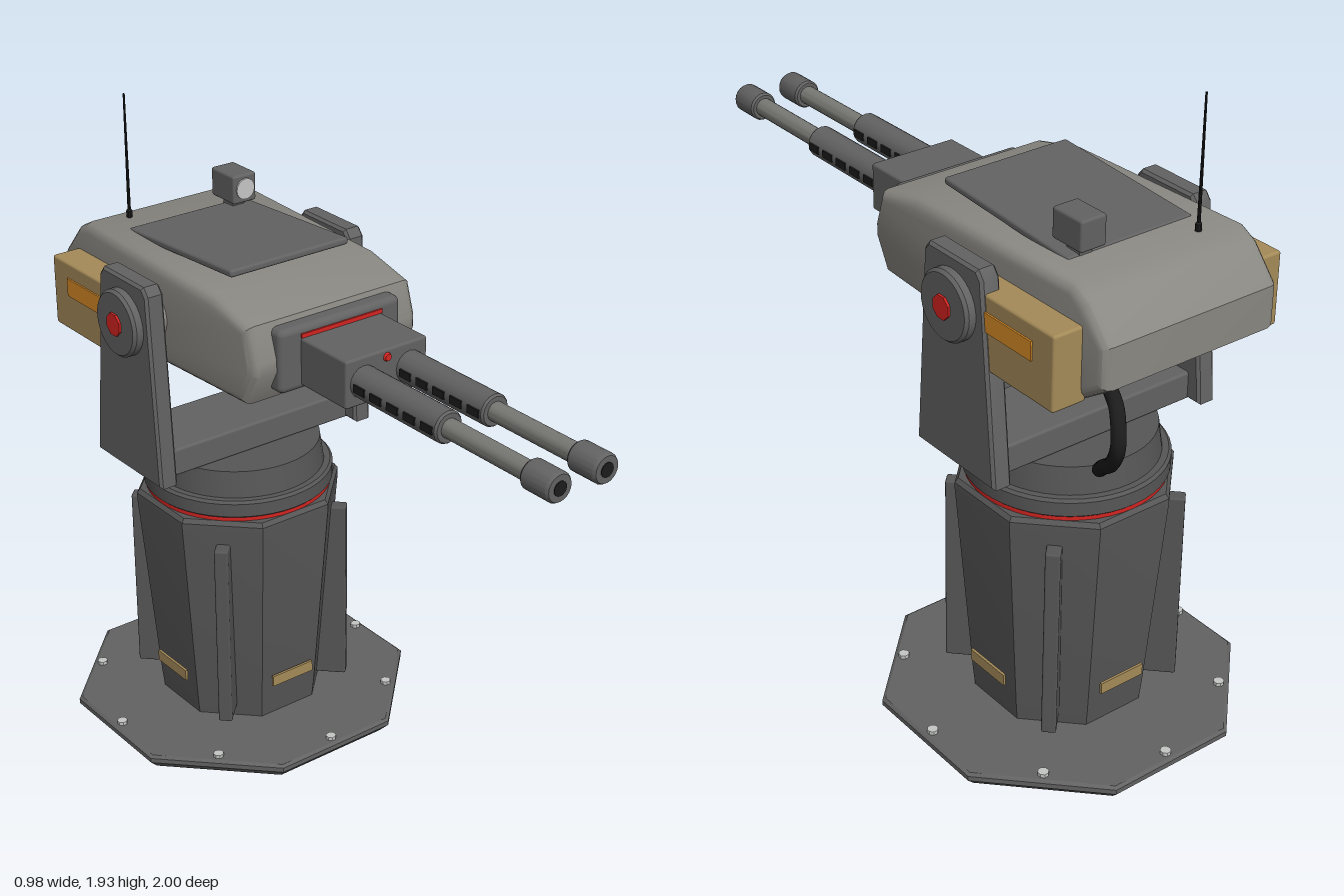
import * as THREE from 'three';
import { toCreasedNormals } from 'three/addons/utils/BufferGeometryUtils.js';
import { RoundedBoxGeometry } from 'three/addons/geometries/RoundedBoxGeometry.js';

const material = (name, color) => {
  const m = new THREE.MeshStandardMaterial({ color });
  m.name = name;
  return m;
};

// Turned solid around y from [radius, height] pairs, bottom to top
function turned(points, sides = 32) {
  const g = new THREE.LatheGeometry(points.map(p => new THREE.Vector2(...p)), sides, Math.PI / 8);
  return toCreasedNormals(g, 0.6);
}

// Solid with a [z, y] side outline, centred across x, edges bevelled
function sideProfile(points, width, bevel, segments = 1) {
  const shape = new THREE.Shape(points.map(p => new THREE.Vector2(...p)));
  const depth = width - 2 * bevel;
  const g = new THREE.ExtrudeGeometry(shape, {
    depth, bevelEnabled: true, bevelThickness: bevel, bevelSize: bevel,
    bevelOffset: -bevel, bevelSegments: segments,
  });
  g.translate(0, 0, -depth / 2).rotateY(-Math.PI / 2);
  return toCreasedNormals(g, 0.6);
}

const rounded = (w, h, d, r = 0.008) => new RoundedBoxGeometry(w, h, d, 2, r);
const plain = (w, h, d) => new THREE.BoxGeometry(w, h, d);

export function createModel() {
  const model = new THREE.Group();
  model.name = 'sentryTurret';
  const plate = material('plateGrey', 0x626262);
  const column = material('columnGrey', 0x565656);
  const armour = material('armourGrey', 0x8a8882);
  const barrelGrey = material('barrelGrey', 0x787874);
  const tan = material('tan', 0xa48a58);
  const orange = material('orange', 0xd98c28);
  const red = material('red', 0xd42420);
  const black = material('black', 0x1c1c1c);
  const silver = material('silver', 0xc4c6c4);

  const add = (name, geometry, mat, x = 0, y = 0, z = 0, parent = model) => {
    const mesh = new THREE.Mesh(geometry, mat);
    mesh.name = name;
    mesh.position.set(x, y, z);
    parent.add(mesh);
    return mesh;
  };

  // Pedestal, all centred on the turning axis
  const pedestal = new THREE.Group();
  pedestal.name = 'pedestal';
  pedestal.position.z = -0.47;
  model.add(pedestal);
  const post = (name, g, mat, x = 0, y = 0, z = 0) => add(name, g, mat, x, y, z, pedestal);

  post('basePlate', turned([[0, 0], [0.5, 0], [0.53, 0.03], [0.53, 0.045], [0.52, 0.052], [0, 0.052]], 8), plate);
  post('columnBody', turned([[0, 0.05], [0.255, 0.05], [0.262, 0.11], [0.315, 0.735], [0.315, 0.755], [0.305, 0.768], [0, 0.768]], 8), column);
  post('redRing', turned([[0, 0.765], [0.282, 0.765], [0.282, 0.78], [0, 0.78]], 48), red);
  post('bearingRing', turned([[0, 0.778], [0.28, 0.778], [0.288, 0.785], [0.288, 0.826], [0.28, 0.834], [0, 0.834]], 48), column);
  post('turntable', turned([[0, 0.83], [0.262, 0.83], [0.25, 0.915], [0, 0.915]], 48), column);

  for (let i = 0; i < 8; i++) {
    const a = i * Math.PI / 4;
    post('baseBolt', turned([[0, 0.05], [0.016, 0.05], [0.016, 0.063], [0, 0.063]], 8), silver, 0.46 * Math.sin(a), 0, 0.46 * Math.cos(a));
  }
  for (let i = 0; i < 4; i++) {
    const a = i * Math.PI / 2, b = a + Math.PI / 4;
    const rib = post('columnRib', rounded(0.042, 0.6, 0.15, 0.006), column, 0.258 * Math.sin(b), 0.39, 0.258 * Math.cos(b));
    rib.rotation.y = b;
    const label = post('columnLabel', plain(0.15, 0.035, 0.008), tan, 0.265 * Math.sin(a), 0.188, 0.265 * Math.cos(a));
    label.rotation.y = a;
  }

  // Yoke
  add('yokeBar', rounded(0.74, 0.085, 0.24), plate, 0, 0.957, -0.475);
  for (const s of [-1, 1]) {
    add('yokeArm', sideProfile([[-0.642, 0.915], [-0.308, 0.915], [-0.345, 1.5], [-0.365, 1.525], [-0.565, 1.525], [-0.585, 1.5]], 0.06, 0.008), plate, s * 0.355);
    const pivot = new THREE.Group();
    pivot.name = 'pivot';
    pivot.position.set(s * 0.27, 1.39, -0.465);
    pivot.rotation.z = -s * Math.PI / 2;
    model.add(pivot);
    add('trunnion', turned([[0, 0], [0.072, 0], [0.072, 0.08], [0, 0.08]]), armour, 0, 0, 0, pivot);
    add('pivotDisc', turned([[0, 0.1], [0.1, 0.1], [0.1, 0.136], [0.092, 0.145], [0, 0.145]]), plate, 0, 0, 0, pivot);
    add('pivotCap', turned([[0, 0.14], [0.035, 0.14], [0.035, 0.152], [0, 0.152]], 8), red, 0, 0, 0, pivot);

    // Ammunition box
    add('ammoBox', rounded(0.105, 0.215, 0.37), tan, s * 0.3225, 1.357, -0.672);
    add('ammoStripe', plain(0.008, 0.055, 0.22), orange, s * 0.376, 1.39, -0.665);
  }

  // Armoured head
  add('headShell', sideProfile([
    [0.022, 1.36], [0.022, 1.4], [-0.01, 1.5], [-0.17, 1.538], [-0.81, 1.556], [-0.86, 1.53],
    [-0.942, 1.435], [-0.942, 1.315], [-0.81, 1.225], [-0.03, 1.262],
  ], 0.574, 0.03, 3), armour);
  const roof = add('roofPanel', rounded(0.41, 0.022, 0.51), plate, 0, 1.561, -0.445);
  roof.rotation.x = -0.06;

  // Sensor and antenna on the roof
  add('sensorPost', plain(0.04, 0.05, 0.05), plate, 0.15, 1.565, -0.675);
  add('sensorBox', rounded(0.082, 0.088, 0.115), plate, 0.15, 1.62, -0.673);
  add('sensorLens', turned([[0, 0], [0.032, 0], [0.032, 0.006], [0, 0.006]], 16), silver, 0.15, 1.62, -0.617).rotation.x = Math.PI / 2;
  add('antenna', turned([[0, 1.54], [0.009, 1.54], [0.009, 1.575], [0.005, 1.58], [0.003, 1.93], [0, 1.93]], 10), black, -0.155, 0, -0.775);

  // Cable at the back
  const path = new THREE.CatmullRomCurve3([
    [0.22, 1.28, -0.89], [0.25, 1.262, -0.95], [0.265, 1.18, -0.977],
    [0.245, 1.1, -0.935], [0.21, 1.04, -0.865], [0.175, 0.99, -0.81],
  ].map(p => new THREE.Vector3(...p)));
  add('cable', new THREE.TubeGeometry(path, 40, 0.02, 12), black);
  const end = add('cableEnd', new THREE.SphereGeometry(0.02, 12, 8), black);
  end.position.copy(path.getPoint(1));

  // Gun mount
  add('mantlet', rounded(0.42, 0.19, 0.08, 0.02), plate, 0, 1.39, 0);
  add('mantletStripe', plain(0.28, 0.012, 0.008), red, 0, 1.458, 0.041);
  add('gunBlock', rounded(0.28, 0.142, 0.22), plate, 0, 1.38, 0.127);
  add('statusLight', turned([[0, 0], [0.014, 0], [0.01, 0.009], [0, 0.009]], 12), red, 0, 1.428, 0.235).rotation.x = Math.PI / 2;

  // Twin guns
  for (const s of [-1, 1]) {
    const gun = new THREE.Group();
    gun.name = 'gun';
    gun.position.set(s * 0.079, 1.378, 0);
    model.add(gun);
    const along = (name, pts, mat, sides) => {
      add(name, turned(pts, sides), mat, 0, 0, 0, gun).rotation.x = Math.PI / 2;
    };
    along('barrelJacket', [[0, 0.23], [0.047, 0.23], [0.047, 0.58], [0.042, 0.587], [0, 0.587]], plate, 16);
    along('barrel', [[0, 0.58], [0.028, 0.58], [0.028, 0.9], [0, 0.9]], barrelGrey, 20);
    along('muzzle', [[0, 0.895], [0.038, 0.895], [0.043, 0.902], [0.043, 0.99], [0.038, 0.998], [0, 0.998]], plate, 20);
    along('bore', [[0, 0.995], [0.021, 0.995], [0.021, 1], [0, 1]], black, 16);
    for (let i = 0; i < 5; i++) {
      for (const side of [-1, 1]) {
        add('coolingSlot', plain(0.008, 0.022, 0.045), black, side * 0.046, 0, 0.275 + i * 0.069, gun);
      }
    }
  }
  return model;
}
